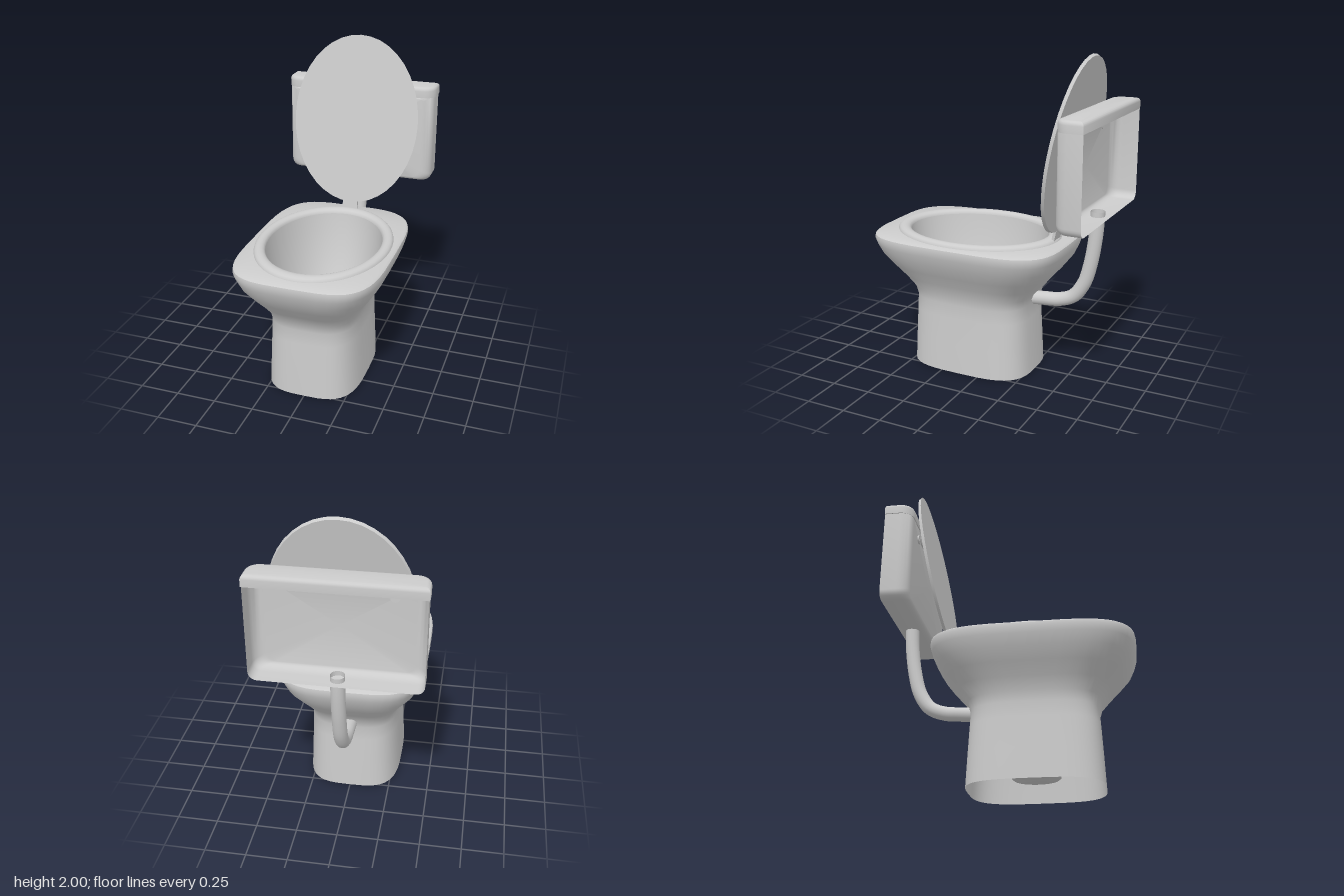
import * as THREE from 'three';
import { toCreasedNormals } from 'three/addons/utils/BufferGeometryUtils.js';

const material = new THREE.MeshStandardMaterial({ color: 0xcccccc, side: THREE.DoubleSide });

// Skin a list of equal-length closed loops of Vector3
function loft(loops, crease = 0.7) {
  const pos = [];
  const tri = (a, b, c) => {
    if (a.equals(b) || b.equals(c) || a.equals(c)) return;
    for (const p of [a, b, c]) pos.push(p.x, p.y, p.z);
  };
  for (let r = 0; r < loops.length - 1; r++) {
    const lo = loops[r], hi = loops[r + 1], n = lo.length;
    for (let i = 0; i < n; i++) {
      const j = (i + 1) % n;
      tri(lo[i], hi[i], hi[j]);
      tri(lo[i], hi[j], lo[j]);
    }
  }
  const g = new THREE.BufferGeometry();
  g.setAttribute('position', new THREE.Float32BufferAttribute(pos, 3));
  return toCreasedNormals(g, crease);
}

// Horizontal superellipse loop around the bowl axis; power 2 is an ellipse
function ring([hx, hz, y, power = 2], segments = 48) {
  const bend = v => Math.sign(v) * Math.pow(Math.abs(v), 2 / power);
  return Array.from({ length: segments }, (_, i) => {
    const a = (i / segments) * Math.PI * 2;
    return new THREE.Vector3(hx * bend(Math.cos(a)), y, 0.125 + hz * bend(Math.sin(a)));
  });
}

// Rounded rectangle as [u, v] points, with one radius for the +v corners and one for the -v corners
function roundedRect(hu, hv, rPlus, rMinus) {
  const pts = [];
  [[1, 1, rPlus], [-1, 1, rPlus], [-1, -1, rMinus], [1, -1, rMinus]].forEach(([su, sv, r], k) => {
    for (let i = 0; i <= 6; i++) {
      const a = (k + i / 6) * Math.PI / 2;
      pts.push([su * (hu - r) + r * Math.cos(a), sv * (hv - r) + r * Math.sin(a)]);
    }
  });
  return pts;
}

export function createModel() {
  const group = new THREE.Group();
  const add = (name, geometry) => {
    const mesh = new THREE.Mesh(geometry, material);
    mesh.name = name;
    group.add(mesh);
    return mesh;
  };

  // Pedestal, open underneath, flaring to a rounded rim and a flat deck
  add('pedestal', loft([
    [0.295, 0.40, 0, 3.4], [0.288, 0.392, 0.18, 3.4], [0.28, 0.383, 0.36, 3.4],
    [0.278, 0.378, 0.45, 3.4], [0.289, 0.395, 0.51, 3.4], [0.325, 0.455, 0.585, 3.5],
    [0.373, 0.52, 0.66, 3.6], [0.418, 0.577, 0.735, 3.8], [0.443, 0.605, 0.80, 3.9],
    [0.453, 0.615, 0.84, 4], [0.45, 0.612, 0.86, 4], [0.437, 0.60, 0.87, 4],
    [0.35, 0.455, 0.87],
  ].map(r => ring(r))));

  // Bowl tapering to a short closed drain cup
  add('bowl', loft([
    [0.35, 0.455, 0.87], [0.337, 0.438, 0.76], [0.305, 0.395, 0.60], [0.25, 0.325, 0.40],
    [0.18, 0.235, 0.25], [0.125, 0.162, 0.15], [0.11, 0.143, 0.12], [0.11, 0.143, 0.075],
    [0.1, 0.13, 0.065], [0, 0, 0.065],
  ].map(r => ring(r))));

  // Half-round seat ring
  const seatRows = [];
  for (let i = 0; i <= 8; i++) {
    const a = (i / 8) * Math.PI, c = Math.cos(a);
    seatRows.push(ring([0.382 + 0.034 * c, 0.497 + 0.043 * c, 0.868 + 0.027 * Math.sin(a)]));
  }
  add('seat', loft(seatRows, 1));

  // Raised oval cover leaning back, and its hinge
  const coverShape = new THREE.CylinderGeometry(1, 0.985, 0.018, 40);
  coverShape.rotateX(Math.PI / 2).scale(0.415, 0.545, 1);
  const cover = add('seatCover', toCreasedNormals(coverShape, 0.6));
  cover.position.set(0, 1.465, -0.507);
  cover.rotation.x = -0.19;
  const hinge = add('hinge', new THREE.BoxGeometry(0.1, 0.075, 0.018));
  hinge.position.set(0, 0.91, -0.402);
  hinge.rotation.x = -0.19;

  // Cistern: hollow shell open at the back with rounded front edges
  const tankLoop = (hx, hy, z, r) =>
    roundedRect(hx, hy, 0.01, r).map(([u, v]) => new THREE.Vector3(u, 1.355 + v, z));
  const tankRows = [tankLoop(0.49, 0.295, -0.737, 0.05)];
  for (let i = 0; i <= 6; i++) {
    const a = (i / 6) * Math.PI / 2, inset = 1 - Math.cos(a);
    tankRows.push(tankLoop(0.49 - 0.07 * inset, 0.295 - 0.03 * inset, -0.64 + 0.07 * Math.sin(a), 0.05));
  }
  tankRows.push(tankRows.at(-1).map(() => new THREE.Vector3(0, 1.355, -0.57)));
  add('cistern', loft(tankRows));

  // Cistern lid with rounded front corners and a soft top edge
  const lidLoop = (inset, y) => roundedRect(0.496 - inset, 0.085 - inset, 0.08 - inset, 0.002)
    .map(([u, v]) => new THREE.Vector3(u, y, -0.653 + v));
  const lidCentre = y => lidLoop(0, y).map(() => new THREE.Vector3(0, y, -0.653));
  const lidRows = [lidCentre(1.632), lidLoop(0, 1.632), lidLoop(0, 1.675)];
  for (let i = 1; i <= 4; i++) {
    const a = (i / 4) * Math.PI / 2;
    lidRows.push(lidLoop(0.025 * (1 - Math.cos(a)), 1.675 + 0.025 * Math.sin(a)));
  }
  lidRows.push(lidCentre(1.70));
  add('cisternLid', loft(lidRows));

  // Flush handle on the cistern front
  const knob = add('flushKnob', new THREE.CylinderGeometry(0.028, 0.028, 0.014, 20));
  knob.rotation.x = Math.PI / 2;
  knob.position.set(-0.3, 1.55, -0.567);
  const lever = add('flushLever', new THREE.BoxGeometry(0.1, 0.02, 0.008));
  lever.position.set(-0.26, 1.55, -0.561);

  // Flush pipe from the cistern floor into the back of the pedestal
  const pipePath = new THREE.CatmullRomCurve3([
    [0.48, -0.26], [0.487, -0.34], [0.497, -0.43], [0.535, -0.52], [0.63, -0.587],
    [0.76, -0.625], [0.93, -0.651], [1.05, -0.659], [1.09, -0.66],
  ].map(([y, z]) => new THREE.Vector3(0, y, z)));
  add('flushPipe', new THREE.TubeGeometry(pipePath, 40, 0.043, 16));

  return group;
}
